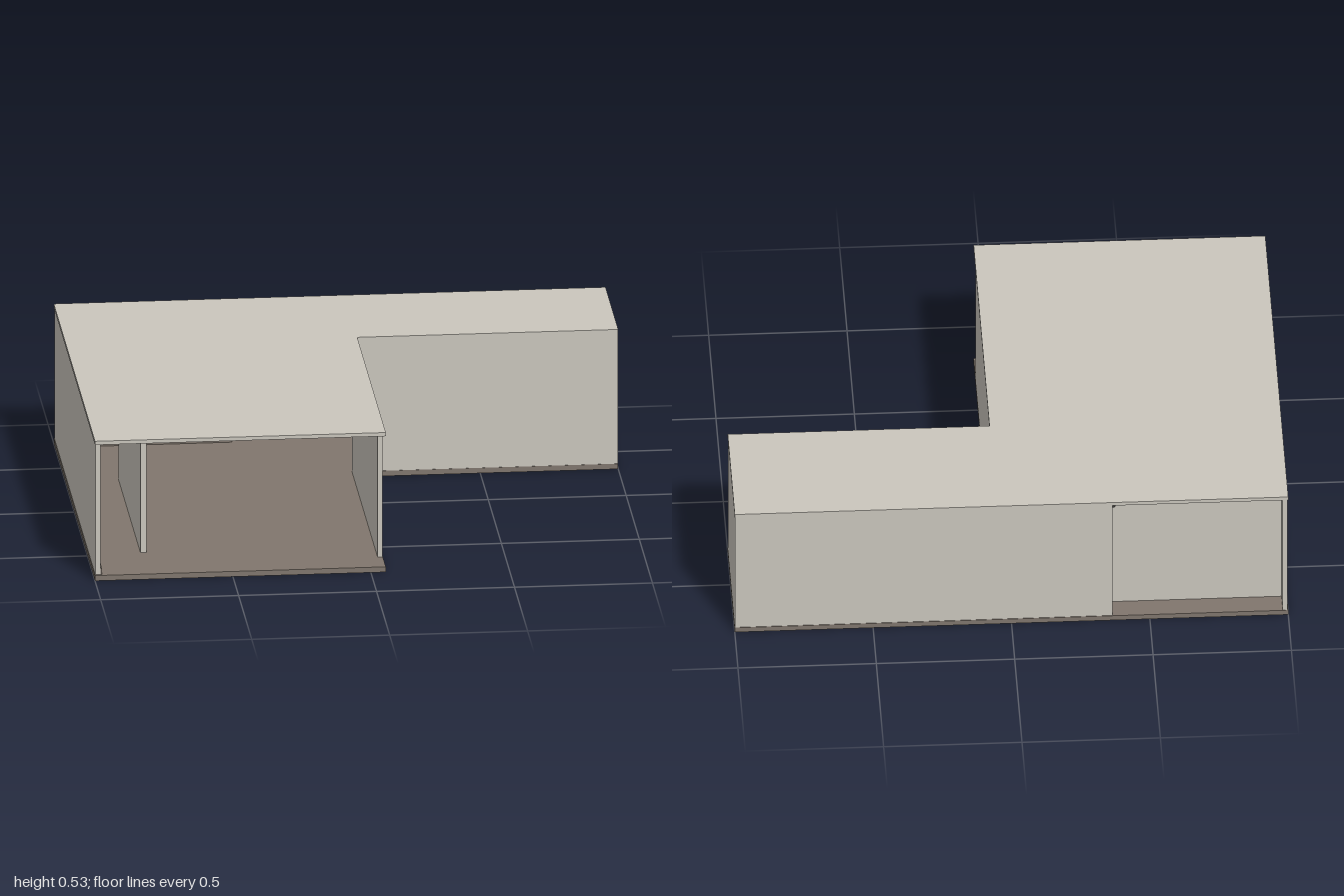
import * as THREE from 'three';

const material = (name, color) => Object.assign(new THREE.MeshStandardMaterial({ color }), { name });

export function createModel() {
  const model = new THREE.Group();
  model.name = 'building';
  const plaster = material('warm grey plaster', 0xcac6bd);
  const brown = material('brown grey floor', 0x80766d);
  const dark = material('dark metal', 0x3c3b38);

  const add = (name, geometry, mat) => {
    const mesh = new THREE.Mesh(geometry, mat);
    mesh.name = name;
    model.add(mesh);
    return mesh;
  };

  // Box given by its limits on each axis
  const block = (name, [x0, x1], [y0, y1], [z0, z1], mat) => {
    const g = new THREE.BoxGeometry(x1 - x0, y1 - y0, z1 - z0);
    g.translate((x0 + x1) / 2, (y0 + y1) / 2, (z0 + z1) / 2);
    return add(name, g, mat);
  };

  // L-shaped slab
  const plan = [[-1, 0.785], [0.054, 0.785], [0.054, -0.302], [1, -0.302], [1, -0.785], [-1, -0.785]];
  const slab = (name, y0, y1, mat) => {
    const shape = new THREE.Shape(plan.map(([x, z]) => new THREE.Vector2(x, -z)));
    const g = new THREE.ExtrudeGeometry(shape, { depth: y1 - y0, bevelEnabled: false });
    g.rotateX(-Math.PI / 2).translate(0, y0, 0);
    add(name, g, mat);
  };
  slab('floor', 0, 0.02, brown);
  slab('roof', 0.517, 0.531, plaster);

  // Outer walls
  const h = [0.02, 0.517];
  block('rightWall', [-0.998, -0.98], h, [-0.783, 0.775], plaster);
  block('leftWall', [0.035, 0.053], h, [-0.303, 0.67], plaster);
  block('wingFrontWall', [0.053, 0.98], h, [-0.321, -0.303], plaster);
  block('wingEndWall', [0.98, 0.999], h, [-0.783, -0.303], plaster);
  block('backWall', [-0.365, 0.98], h, [-0.783, -0.765], plaster);

  // Recessed back wall and free-standing partition
  block('recessedWall', [-0.98, -0.365], h, [-0.7, -0.685], plaster);
  block('partition', [-0.812, -0.79], [0.02, 0.477], [-0.3, 0.54], plaster);

  // Skirting
  block('sideSkirting', [-0.98, -0.973], [0.02, 0.043], [-0.685, 0.775], brown);
  block('backSkirting', [-0.973, -0.365], [0.02, 0.043], [-0.685, -0.678], brown);

  // Ceiling spotlights: x, z, tilt
  const spots = [[-0.72, 0.3, -0.7], [-0.69, 0.1, 0], [-0.605, -0.2, -0.6], [-0.37, -0.72, 0], [-0.23, 0.2, 0.7]];
  for (const [x, z, tilt] of spots) {
    const lamp = add('spotlight', new THREE.CylinderGeometry(0.009, 0.009, 0.032, 12), dark);
    lamp.position.set(x, 0.482, z);
    lamp.rotation.z = tilt;
    block('spotlightStem', [x - 0.002, x + 0.002], [0.485, 0.517], [z - 0.002, z + 0.002], dark);
  }
  block('ceilingSensor', [-0.485, -0.47], [0.498, 0.503], [0.672, 0.688], dark);
  return model;
}
